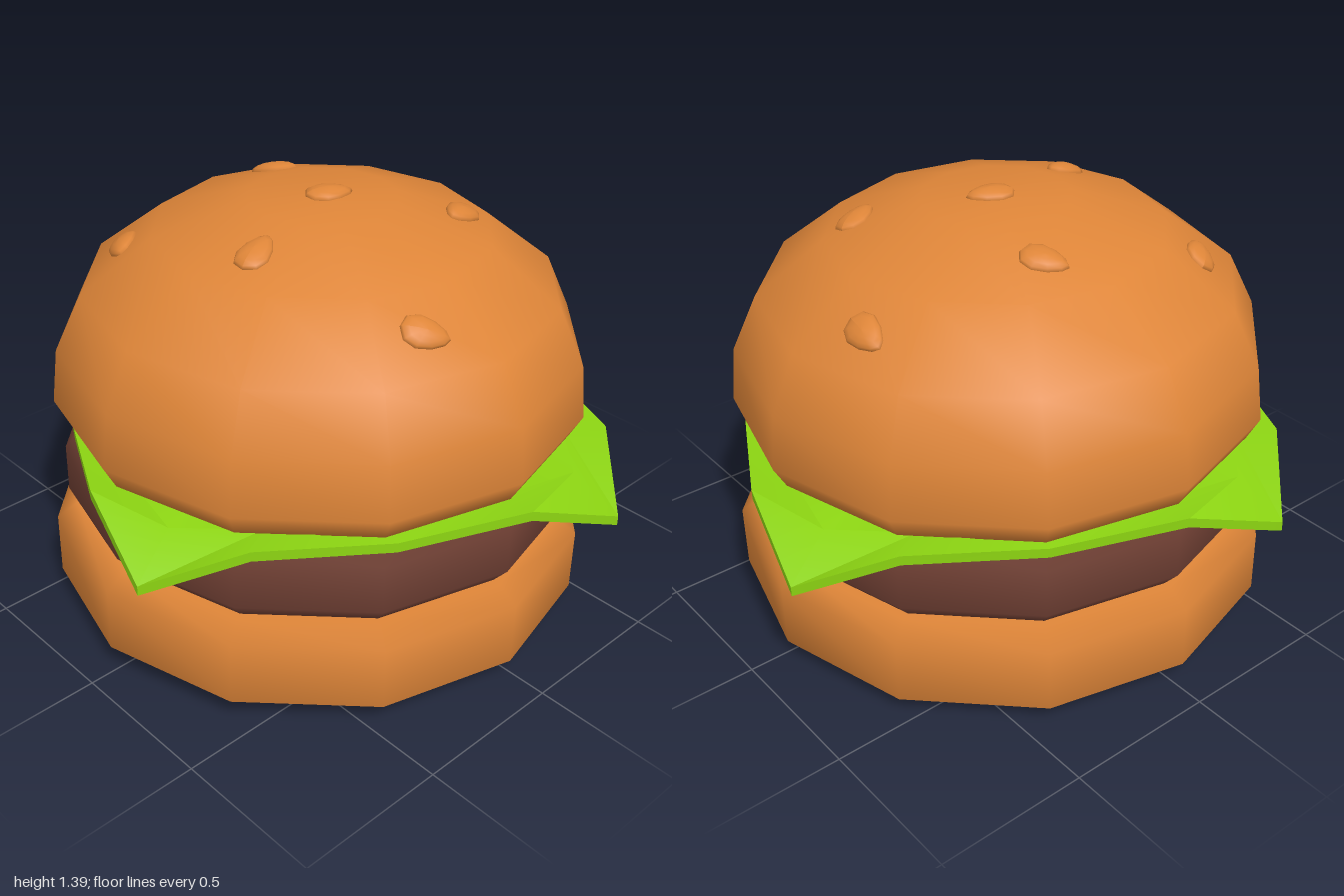
import * as THREE from 'three';
import { toCreasedNormals } from 'three/addons/utils/BufferGeometryUtils.js';

const bread = new THREE.MeshStandardMaterial({ name: 'toasted bread', color: 0xde8538 });
const meat = new THREE.MeshStandardMaterial({ name: 'grilled meat', color: 0x6f3f33 });
const leaf = new THREE.MeshStandardMaterial({ name: 'leaf green', color: 0x8cd412 });

const SIDES = 12;

function mesh(name, geometry, material) {
  const m = new THREE.Mesh(geometry, material);
  m.name = name;
  return m;
}

// Twelve-sided turned layer from [radius, height] pairs, bottom to top
function layer(name, profile, material) {
  const pts = profile.map(([r, y]) => new THREE.Vector2(r, y));
  return mesh(name, new THREE.LatheGeometry(pts, SIDES), material);
}

const crown = [[0, 0.64], [0.72, 0.64], [0.83, 0.655], [0.87, 0.73], [0.85, 0.91],
  [0.765, 1.09], [0.54, 1.265], [0.24, 1.365], [0, 1.37]];

// Point and slope normal on the crown above a given x, z
function onCrown(x, z) {
  const step = (Math.PI * 2) / SIDES;
  const a = Math.atan2(z, x) + Math.PI * 2;
  const r = (Math.hypot(x, z) * Math.cos((a % step) - step / 2)) / Math.cos(step / 2);
  let i = crown.length - 1;
  while (i > 4 && crown[i - 1][0] < r) i--;
  const [r1, y1] = crown[i], [r0, y0] = crown[i - 1];
  const y = y1 + ((y0 - y1) * (r - r1)) / (r0 - r1);
  const normal = new THREE.Vector3((y1 - y0) * Math.cos(a), r0 - r1, (y1 - y0) * Math.sin(a));
  return { point: new THREE.Vector3(x, y, z), normal: normal.normalize() };
}

// Flattened teardrop, narrow towards +x
function seedGeometry() {
  const g = new THREE.SphereGeometry(1, 10, 8);
  const p = g.attributes.position;
  for (let i = 0; i < p.count; i++) {
    const x = p.getX(i), taper = 1 - 0.35 * x;
    p.setXYZ(i, x * 0.078, p.getY(i) * 0.026, p.getZ(i) * 0.053 * taper);
  }
  g.computeVertexNormals();
  return g;
}

// Square leaf with drooping corners and wavy edges
function lettuceGeometry() {
  const corners = [[-0.3, -1], [1, -0.3], [0.3, 1], [-1, 0.3]];
  const bulge = [0, 0.085, 0.09, 0.085];
  const along = [0, 0.22, 0.5, 0.79];
  const heights = [0.54, 0.667, 0.628, 0.667];
  const edge = [];
  corners.forEach(([x0, z0], c) => {
    const [x1, z1] = corners[(c + 1) % 4];
    const len = Math.hypot(x1 - x0, z1 - z0);
    along.forEach((t, k) => edge.push([
      x0 + (x1 - x0) * t + ((z1 - z0) / len) * bulge[k],
      heights[k],
      z0 + (z1 - z0) * t - ((x1 - x0) / len) * bulge[k]]));
  });
  // Rings run from the top centre, round the rim, to the bottom centre
  const thick = 0.032;
  const ring = (s, drop) => edge.map(([x, y, z]) =>
    [x * s, (s === 1 ? y : 0.648) - drop, z * s]);
  const rings = [ring(0, 0), ring(0.85, 0), ring(1, 0),
    ring(1, thick), ring(0.85, thick), ring(0, thick)];
  const n = edge.length, index = [];
  for (let r = 0; r < rings.length - 1; r++) {
    for (let i = 0; i < n; i++) {
      const a = r * n + i, b = r * n + ((i + 1) % n), c = b + n, d = a + n;
      if (r > 0) index.push(a, b, c);
      if (r < rings.length - 2) index.push(a, c, d);
      if (r === rings.length - 2) continue;
    }
  }
  const g = new THREE.BufferGeometry();
  g.setAttribute('position', new THREE.Float32BufferAttribute(rings.flat(2), 3));
  g.setIndex(index);
  return toCreasedNormals(g, 0.7);
}

export function createModel() {
  const model = new THREE.Group();
  model.name = 'hamburger';

  // The whole stack leans back slightly
  const stack = new THREE.Group();
  stack.name = 'stack';
  stack.rotation.x = -0.0225;
  stack.position.set(-0.008, -0.001, 0.025);
  model.add(stack);

  stack.add(layer('bottomBun', [[0, 0.02], [0.82, 0.02], [0.89, 0.072], [0.89, 0.285],
    [0.82, 0.335], [0, 0.335]], bread));
  stack.add(layer('patty', [[0, 0.33], [0.79, 0.33], [0.845, 0.395], [0.845, 0.555],
    [0.79, 0.62], [0, 0.62]], meat));
  stack.add(layer('topBun', crown, bread));

  const lettuce = mesh('lettuce', lettuceGeometry(), leaf);
  lettuce.position.set(0.008, 0, -0.011);
  stack.add(lettuce);

  // Seeds: x, z, then direction of the narrow tip
  const seeds = new THREE.Group();
  seeds.name = 'sesameSeeds';
  const seedShape = seedGeometry();
  [[-0.165, -0.615, -1, -0.2], [0.27, -0.34, 0.3, 1], [-0.36, -0.115, -1, 0.6],
    [0.01, -0.015, 0.4, -1], [0.605, 0.17, 1, -0.8], [0.105, 0.365, -0.3, -1],
    [-0.44, 0.45, 1, 0.7]].forEach(([x, z, dx, dz]) => {
    const { point, normal } = onCrown(x, z);
    const side = new THREE.Vector3(dx, 0, dz).cross(normal).normalize();
    const tip = normal.clone().cross(side);
    const seed = mesh('sesameSeed', seedShape, bread);
    seed.position.copy(point);
    seed.quaternion.setFromRotationMatrix(new THREE.Matrix4().makeBasis(tip, normal, side));
    seeds.add(seed);
  });
  stack.add(seeds);

  return model;
}
